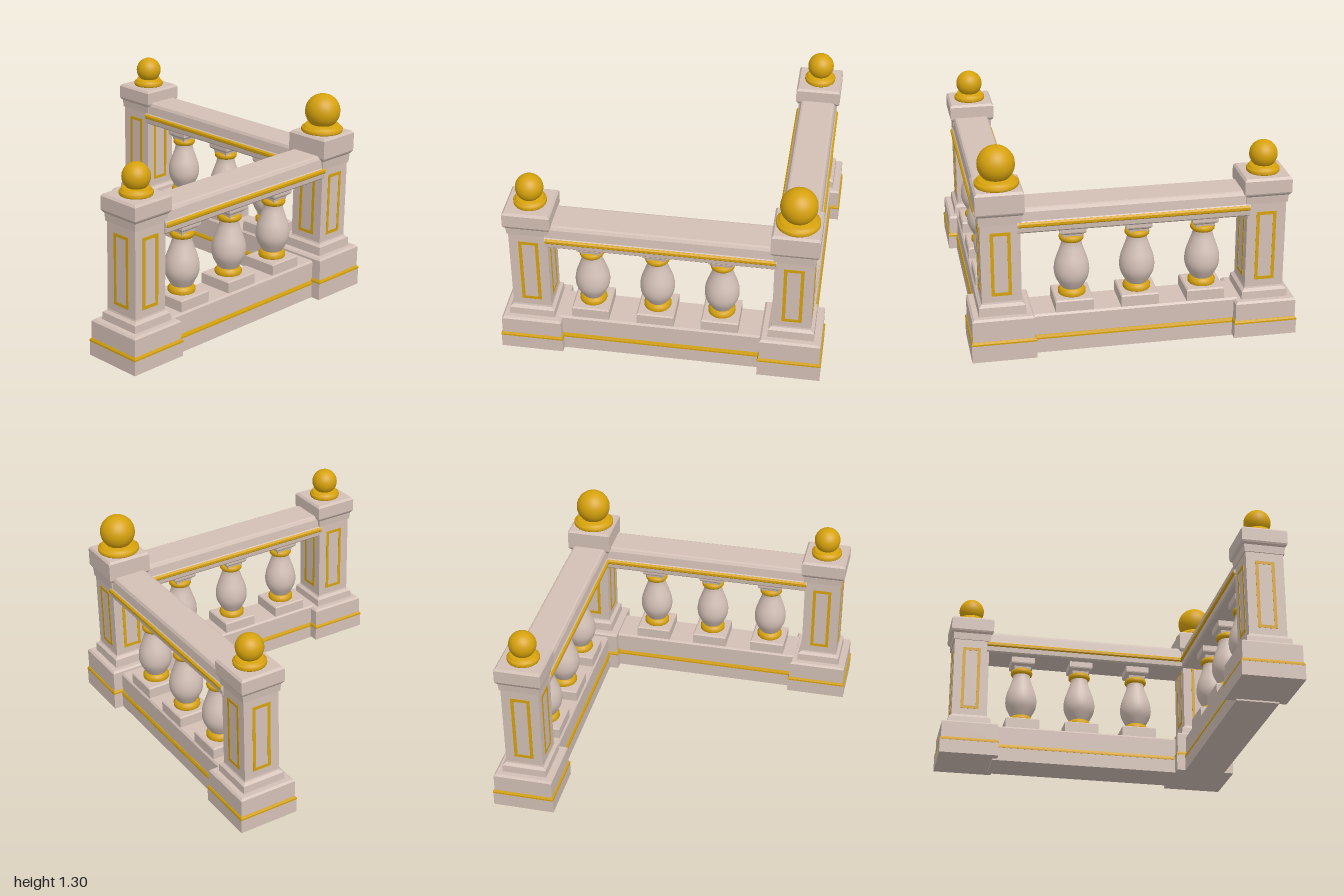
import * as THREE from 'three';

const stone = new THREE.MeshStandardMaterial({ color: 0xd3c0b6 });
stone.name = 'stone';
const gold = new THREE.MeshStandardMaterial({ color: 0xd6a20c });
gold.name = 'gold';

function add(parent, name, geometry, material, x = 0, y = 0, z = 0) {
  const mesh = new THREE.Mesh(geometry, material);
  mesh.name = name;
  mesh.position.set(x, y, z);
  parent.add(mesh);
  return mesh;
}

const vectors = (points) => points.map(([r, y]) => new THREE.Vector2(r, y));

// Square stack from [half width, height] pairs, with crisp faces
function squareStack(points) {
  const scaled = points.map(([h, y]) => [h * Math.SQRT2, y]);
  const g = new THREE.LatheGeometry(vectors(scaled), 4, Math.PI / 4).toNonIndexed();
  g.computeVertexNormals();
  return g;
}

const turned = (points) => new THREE.LatheGeometry(vectors(points), 32);

// Bar along x with a mirrored cross-section of [half width, height] pairs
function bar(points, length) {
  const outline = [...points, ...points.map(([h, y]) => [-h, y]).reverse()];
  const g = new THREE.ExtrudeGeometry(new THREE.Shape(vectors(outline)), { depth: length, bevelEnabled: false });
  g.translate(0, 0, -length / 2);
  g.rotateY(Math.PI / 2);
  return g;
}

// Rectangular gold outline for a post face
function frameGeometry(w, h, t) {
  const rect = (Type, a, b) => new Type(vectors([[-a, -b], [a, -b], [a, b], [-a, b]]));
  const shape = rect(THREE.Shape, w / 2, h / 2);
  shape.holes.push(rect(THREE.Path, w / 2 - t, h / 2 - t));
  return new THREE.ExtrudeGeometry(shape, { depth: 0.006, bevelEnabled: false });
}

function createPost(name, x, z, d) {
  const post = new THREE.Group();
  post.name = name;
  post.position.set(x, 0, z);

  // Plinth, collar, shaft and cap
  add(post, 'postBody', squareStack([
    [0, d.bottom], [0.195, d.bottom], [0.195, d.band], [0.187, d.band + 0.02],
    [0.187, d.plinth - 0.012], [0.175, d.plinth], [0.143, d.plinth],
    [0.14, d.collar - 0.015], [0.122, d.collar], [0.119, d.collar + 0.01],
    [0.119, d.capLow], [0.126, d.capLow], [0.13, d.capMid - 0.012], [0.14, d.capMid],
    [0.145, d.capMid + 0.01], [0.145, d.capTop - 0.014], [0.133, d.capTop], [0, d.capTop],
  ]), stone);
  add(post, 'plinthBand', squareStack([
    [0, d.band], [0.196, d.band], [0.196, d.band + 0.01], [0.189, d.band + 0.022], [0, d.band + 0.022],
  ]), gold);

  // Panel outline on each face
  const panel = frameGeometry(0.122, d.panel[1] - d.panel[0], 0.02);
  for (let i = 0; i < 4; i++) {
    const a = i * Math.PI / 2;
    add(post, 'panelFrame', panel, gold, Math.sin(a) * 0.115, (d.panel[0] + d.panel[1]) / 2, Math.cos(a) * 0.115)
      .rotation.y = a;
  }

  // Ball finial on a stepped ring
  const r = d.ball, t = d.capTop;
  add(post, 'finialRing', turned([
    [0, t], [r * 1.15, t], [r * 1.18, t + 0.005], [r * 1.18, t + 0.02], [r * 1.12, t + 0.026],
    [r, t + 0.03], [r * 0.96, t + 0.045], [0, t + 0.05],
  ]), gold);
  add(post, 'finialBall', new THREE.SphereGeometry(r, 32, 20), gold, 0, d.ballY, 0);
  return post;
}

function createBaluster(x) {
  const baluster = new THREE.Group();
  baluster.name = 'baluster';
  baluster.position.x = x;
  add(baluster, 'balusterPlinth', squareStack([
    [0, 0.24], [0.116, 0.24], [0.116, 0.316], [0.108, 0.324], [0, 0.324],
  ]), stone);
  add(baluster, 'lowerRing', turned([
    [0, 0.322], [0.08, 0.322], [0.084, 0.328], [0.084, 0.346], [0.077, 0.352], [0.074, 0.362], [0.062, 0.37], [0, 0.37],
  ]), gold);

  // Smooth vase-shaped body
  const curve = new THREE.SplineCurve(vectors([
    [0.06, 0.36], [0.078, 0.39], [0.1, 0.435], [0.107, 0.48], [0.1, 0.535], [0.078, 0.6], [0.062, 0.65], [0.059, 0.69],
  ]));
  add(baluster, 'balusterBody', new THREE.LatheGeometry(curve.getPoints(28), 32), stone);
  add(baluster, 'upperRing', turned([
    [0.05, 0.672], [0.066, 0.675], [0.074, 0.685], [0.075, 0.696], [0.072, 0.708], [0.062, 0.716], [0.04, 0.716],
  ]), gold);
  add(baluster, 'balusterCapital', squareStack([
    [0, 0.705], [0.054, 0.705], [0.058, 0.728], [0.076, 0.742], [0.079, 0.75], [0.079, 0.795], [0, 0.795],
  ]), stone);
  return baluster;
}

function createRailing(name) {
  const railing = new THREE.Group();
  railing.name = name;
  // Base beam and its gold line
  add(railing, 'baseBeam', bar([
    [0.135, 0], [0.135, 0.095], [0.126, 0.115], [0.126, 0.238], [0.116, 0.25],
  ], 1.28), stone);
  add(railing, 'baseLine', bar([[0.137, 0.09], [0.137, 0.1], [0.13, 0.116]], 1.27), gold);
  // Handrail with a sloped shoulder
  add(railing, 'handrail', bar([
    [0.115, 0.787], [0.125, 0.797], [0.128, 0.83], [0.135, 0.835], [0.135, 0.85],
    [0.122, 0.865], [0.116, 0.92], [0.106, 0.938], [0.095, 0.943],
  ], 1.4), stone);
  add(railing, 'handrailLine', bar([[0.134, 0.829], [0.139, 0.835], [0.139, 0.85], [0.13, 0.859]], 1.39), gold);
  for (const x of [-0.44, -0.035, 0.365]) railing.add(createBaluster(x));
  return railing;
}

export function createModel() {
  const model = new THREE.Group();
  model.name = 'cornerBalustrade';

  const small = {
    bottom: 0.01, band: 0.1, plinth: 0.243, collar: 0.305, capLow: 0.865, capMid: 0.925, capTop: 1.03,
    panel: [0.36, 0.808], ball: 0.085, ballY: 1.137,
  };
  const tall = {
    bottom: 0, band: 0.11, plinth: 0.275, collar: 0.345, capLow: 0.85, capMid: 0.92, capTop: 1.06,
    panel: [0.395, 0.802], ball: 0.112, ballY: 1.19,
  };
  model.add(createPost('rightEndPost', -0.803, -0.805, small));
  model.add(createPost('frontEndPost', 0.793, 0.805, small));
  model.add(createPost('cornerPost', 0.803, -0.805, tall));

  // Two railings meeting at the corner post
  const back = createRailing('backRailing');
  back.position.z = -0.805;
  const side = createRailing('sideRailing');
  side.position.x = 0.8;
  side.rotation.y = Math.PI / 2;
  model.add(back, side);
  return model;
}
